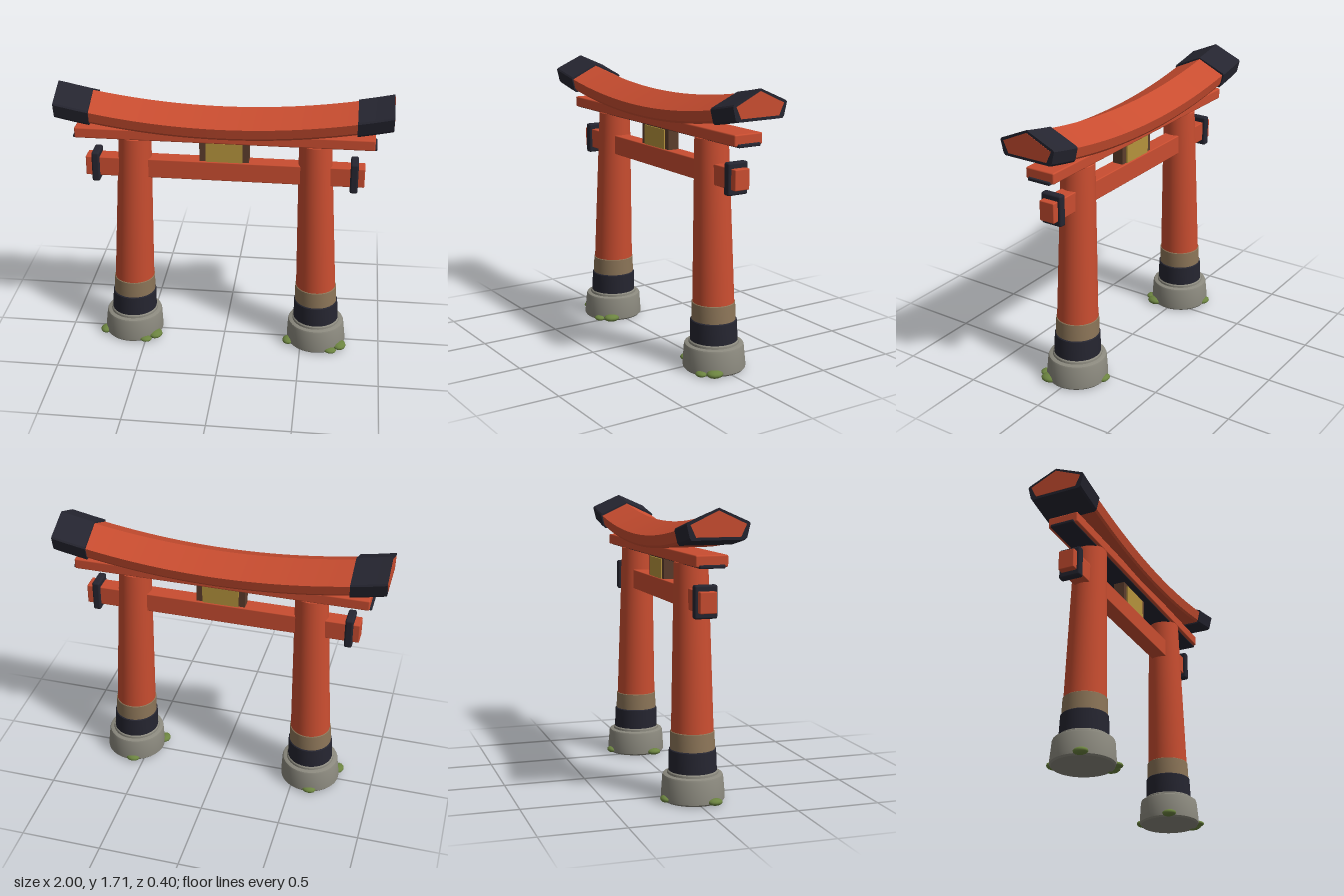
import * as THREE from 'three';
import { toCreasedNormals } from 'three/addons/utils/BufferGeometryUtils.js';
import { RoundedBoxGeometry } from 'three/addons/geometries/RoundedBoxGeometry.js';

const material = (name, color) => {
  const m = new THREE.MeshStandardMaterial({ color });
  m.name = name;
  return m;
};

export function createModel() {
  const red = material('vermilion', 0xc94d30);
  const dark = material('dark lacquer', 0x252530);
  const stone = material('stone', 0x8b897e);
  const rope = material('tan wrap', 0x8c7558);
  const gold = material('gold', 0xb5933c);
  const brown = material('brown wood', 0x5c3d2c);
  const moss = material('moss', 0x6c8440);

  const gate = new THREE.Group();
  gate.name = 'gate';
  const body = new THREE.Group();
  body.name = 'gateBody';
  body.position.z = 0.007;
  gate.add(body);

  const add = (parent, name, geometry, mat, x = 0, y = 0, z = 0) => {
    const mesh = new THREE.Mesh(geometry, mat);
    mesh.name = name;
    mesh.position.set(x, y, z);
    parent.add(mesh);
    return mesh;
  };

  // Beam of constant section along x, bent upward towards its ends
  const lift = (x) => 0.112 * x * x;
  const curvedBeam = (profile, x0, x1, steps) => {
    const right = profile.map(([z, y]) => new THREE.Vector2(z, y));
    const left = profile.filter(([z]) => z > 0).reverse().map(([z, y]) => new THREE.Vector2(-z, y));
    let g = new THREE.ExtrudeGeometry(new THREE.Shape([...right, ...left]), {
      depth: x1 - x0, steps, bevelEnabled: false,
    });
    g.rotateY(Math.PI / 2).translate(x0, 0, 0);
    const p = g.attributes.position;
    for (let i = 0; i < p.count; i++) p.setY(i, p.getY(i) + lift(p.getX(i)));
    return toCreasedNormals(g, 0.25);
  };

  // Curved roof beam with dark end sleeves and red end faces
  const roof = [[0, 1.604], [0.171, 1.524], [0.157, 1.464], [0.146, 1.45]];
  const sleeve = [[0, 1.613], [0.174, 1.537], [0.181, 1.527], [0.163, 1.453], [0.152, 1.44]];
  const face = [[0, 1.598], [0.16, 1.524], [0.128, 1.456]];
  add(body, 'roofBeam', curvedBeam(roof, -0.8, 0.8, 32), red);
  for (const s of [-1, 1]) {
    const span = (a, b) => (s > 0 ? [a, b] : [-b, -a]);
    add(body, 'roofEndSleeve', curvedBeam(sleeve, ...span(0.79, 0.998), 6), dark);
    add(body, 'roofEndFace', curvedBeam(face, ...span(0.995, 1), 1), red);
  }

  // Straight lintel under the roof, with its dark underside board
  add(body, 'lintel', new RoundedBoxGeometry(1.8, 0.066, 0.19, 2, 0.008), red, 0, 1.431);
  add(body, 'lintelBoard', new RoundedBoxGeometry(1.826, 0.02, 0.15, 2, 0.006), dark, 0, 1.401);

  // Lower tie beam and the collars near its ends
  add(body, 'tieBeam', new RoundedBoxGeometry(1.7, 0.122, 0.1, 2, 0.006), red, 0, 1.196);
  for (const s of [-1, 1]) {
    add(body, 'tieBeamCollar', new RoundedBoxGeometry(0.048, 0.19, 0.136, 3, 0.012), dark, s * 0.787, 1.196);
  }

  // Central plaque, alike on both sides
  add(body, 'plaqueFrame', new THREE.BoxGeometry(0.3, 0.155, 0.07), brown, 0, 1.323);
  add(body, 'plaquePanel', new THREE.BoxGeometry(0.224, 0.127, 0.088), gold, 0, 1.314);

  // Round section turned from [radius, y] points, leaning along the pillar's axis
  const axis = (y) => 0.547 + 0.036 * (1.39 - y);
  const turned = (points, s) => {
    const g = new THREE.LatheGeometry(points.map(([r, y]) => new THREE.Vector2(r, y)), 40);
    const p = g.attributes.position;
    for (let i = 0; i < p.count; i++) p.setX(i, p.getX(i) + s * axis(p.getY(i)));
    return toCreasedNormals(g, 0.5);
  };
  const drum = (r0, y0, r1, y1, b) => [
    [0, y0], [r0 - b, y0], [r0, y0 + b], [r1, y1 - b], [r1 - b, y1], [0, y1],
  ];

  // Moss clumps: offset from the foot's centre and radii
  const clumps = [
    [0.153, 0.035, 0.1, 0.045, 0.024, 0.053],
    [0.1, 0.03, 0.162, 0.038, 0.016, 0.032],
    [-0.175, 0.034, 0.075, 0.036, 0.021, 0.045],
    [-0.03, 0.034, -0.176, 0.044, 0.02, 0.032],
  ];

  // Two pillars with wraps, stone feet and moss
  for (const s of [-1, 1]) {
    const pillar = new THREE.Group();
    pillar.name = s > 0 ? 'leftPillar' : 'rightPillar';
    body.add(pillar);
    add(pillar, 'pillarShaft', turned(drum(0.127, 0.3, 0.099, 1.4, 0.004), s), red);
    add(pillar, 'pillarWrap', turned(drum(0.132, 0.3, 0.129, 0.42, 0.003), s), rope);
    add(pillar, 'pillarBand', turned(drum(0.142, 0.18, 0.138, 0.315, 0.005), s), dark);
    add(pillar, 'footCollar', turned(drum(0.152, 0.15, 0.149, 0.188, 0.006), s), stone);
    add(pillar, 'foot', turned([
      [0, 0.014], [0.178, 0.014], [0.187, 0.024], [0.187, 0.045], [0.178, 0.155], [0.174, 0.165], [0.164, 0.17], [0, 0.17],
    ], s), stone);
    for (const [x, y, z, rx, ry, rz] of clumps) {
      add(pillar, 'mossClump', new THREE.SphereGeometry(1, 12, 8).scale(rx, ry, rz), moss, s * 0.595 + x, y, z);
    }
  }
  return gate;
}
